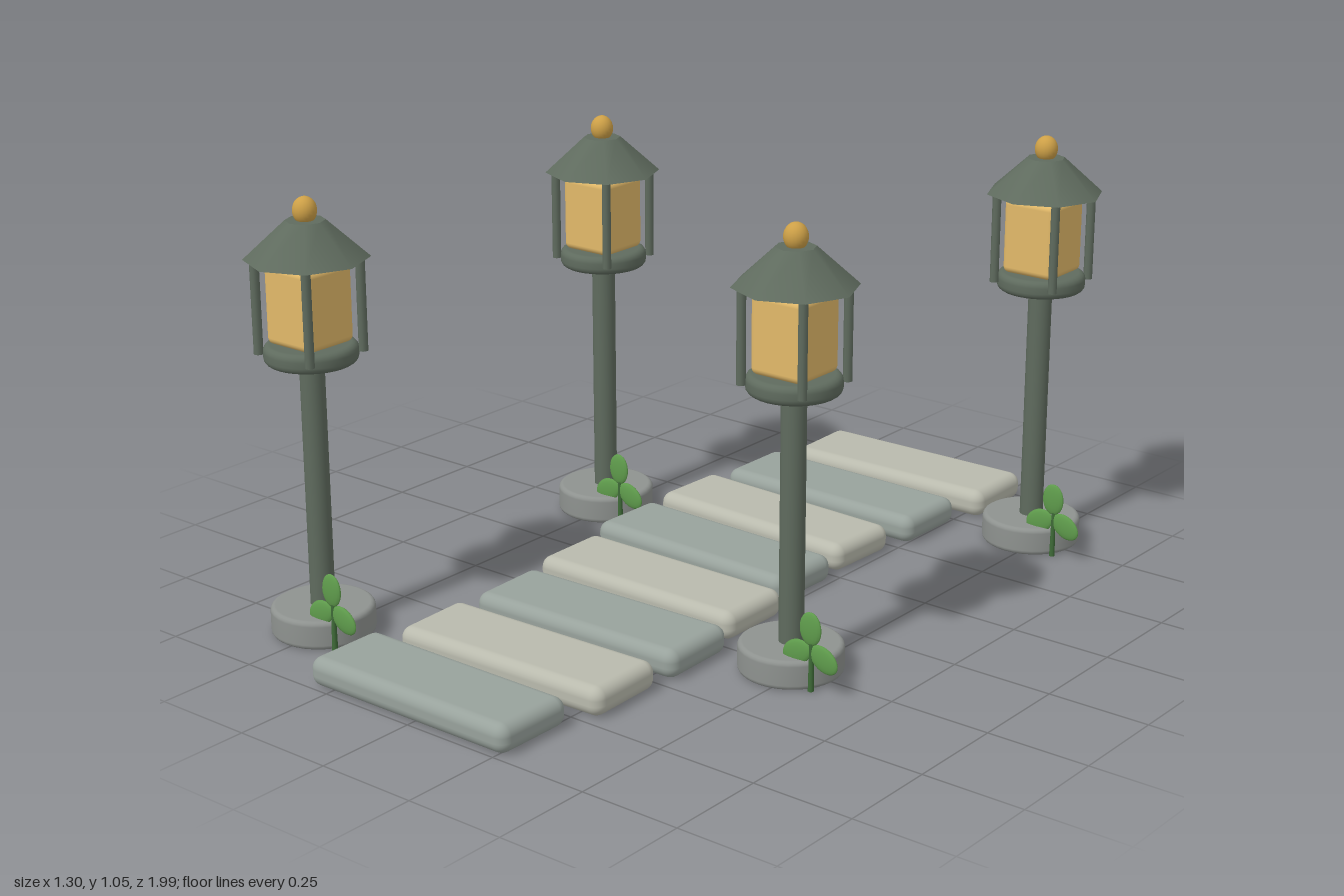
import * as THREE from 'three';
import { RoundedBoxGeometry } from 'three/addons/geometries/RoundedBoxGeometry.js';

const paint = (color) => new THREE.MeshStandardMaterial({ color });

function part(name, geometry, material, x = 0, y = 0, z = 0) {
  const mesh = new THREE.Mesh(geometry, material);
  mesh.name = name;
  mesh.position.set(x, y, z);
  return mesh;
}

// Round disc standing on y = 0 with softened rims
function softDisc(radius, height, bevel) {
  const points = [new THREE.Vector2(0, 0)];
  for (let i = 0; i <= 4; i++) {
    const a = -Math.PI / 2 + (i / 4) * (Math.PI / 2);
    points.push(new THREE.Vector2(radius - bevel + bevel * Math.cos(a), bevel + bevel * Math.sin(a)));
  }
  for (let i = 0; i <= 4; i++) {
    const a = (i / 4) * (Math.PI / 2);
    points.push(new THREE.Vector2(radius - bevel + bevel * Math.cos(a), height - bevel + bevel * Math.sin(a)));
  }
  points.push(new THREE.Vector2(0, height));
  return new THREE.LatheGeometry(points, 32);
}

export function createModel() {
  const model = new THREE.Group();
  model.name = 'lanternPath';

  const metal = paint(0x5f6b5e);
  const stone = paint(0x8e928f);
  const paleSlab = paint(0xb9baad);
  const darkSlab = paint(0x98a29c);
  const glow = paint(0xe2b969);
  const brass = paint(0xcda047);
  const leafGreen = paint(0x5f9c4c);
  const stemGreen = paint(0x3f6b38);

  // Stepping slabs from back to front: [x offset, turn]
  const slabs = [
    [0.008, 0.022], [-0.029, -0.01], [-0.055, -0.04], [-0.05, -0.027],
    [-0.012, 0.005], [0.018, 0.03], [0.016, 0.033], [-0.019, 0],
  ];
  const slabGeometry = new RoundedBoxGeometry(0.588, 0.07, 0.212, 4, 0.028);
  slabs.forEach(([x, turn], i) => {
    const slab = part('slab', slabGeometry, i % 2 ? darkSlab : paleSlab, x, 0.035, -0.886 + i * 0.2535);
    slab.rotation.y = turn;
    model.add(slab);
  });

  // Shared lantern geometry
  const baseGeometry = softDisc(0.122, 0.07, 0.012);
  const postGeometry = new THREE.CylinderGeometry(0.029, 0.029, 0.61, 20);
  const trayGeometry = softDisc(0.108, 0.046, 0.016);
  const glassGeometry = new RoundedBoxGeometry(0.143, 0.188, 0.143, 3, 0.016);
  const barGeometry = new THREE.CylinderGeometry(0.011, 0.011, 0.23, 10);
  const roofGeometry = new THREE.CylinderGeometry(0.046, 0.143, 0.088, 8);
  const finialGeometry = new THREE.SphereGeometry(0.028, 20, 14).scale(1, 1.15, 1);
  const stemGeometry = new THREE.CylinderGeometry(0.005, 0.007, 0.115, 8);
  const leafGeometry = new THREE.SphereGeometry(0.04, 16, 12).scale(0.74, 1, 0.2);

  function lantern() {
    const group = new THREE.Group();
    group.name = 'lantern';
    group.add(
      part('base', baseGeometry, stone),
      part('post', postGeometry, metal, 0, 0.365, 0),
      part('tray', trayGeometry, metal, 0, 0.66, 0),
      part('glass', glassGeometry, glow, 0, 0.799, 0),
      part('roof', roofGeometry, metal, 0, 0.947, 0),
      part('finial', finialGeometry, brass, 0, 1.013, 0),
    );
    // Four corner bars holding the roof
    for (const sx of [-1, 1]) {
      for (const sz of [-1, 1]) {
        group.add(part('cornerBar', barGeometry, metal, sx * 0.083, 0.797, sz * 0.083));
      }
    }
    return group;
  }

  // Three-leafed sprig growing beside a base
  function sprig() {
    const group = new THREE.Group();
    group.name = 'sprig';
    group.add(part('stem', stemGeometry, stemGreen, 0.003, 0.0575, 0));
    for (let i = 0; i < 3; i++) {
      const a = (i * Math.PI * 2) / 3;
      const leaf = part('leaf', leafGeometry, leafGreen, -Math.sin(a) * 0.043, 0.106 + Math.cos(a) * 0.043, 0);
      leaf.rotation.z = a;
      group.add(leaf);
    }
    group.position.set(0.103, 0, 0.068);
    return group;
  }

  // Lanterns alternate sides along the path
  for (let i = 0; i < 4; i++) {
    const light = lantern();
    light.add(sprig());
    light.position.set(i % 2 ? -0.508 : 0.473, 0, -0.764 + i * 0.507);
    model.add(light);
  }

  return model;
}
